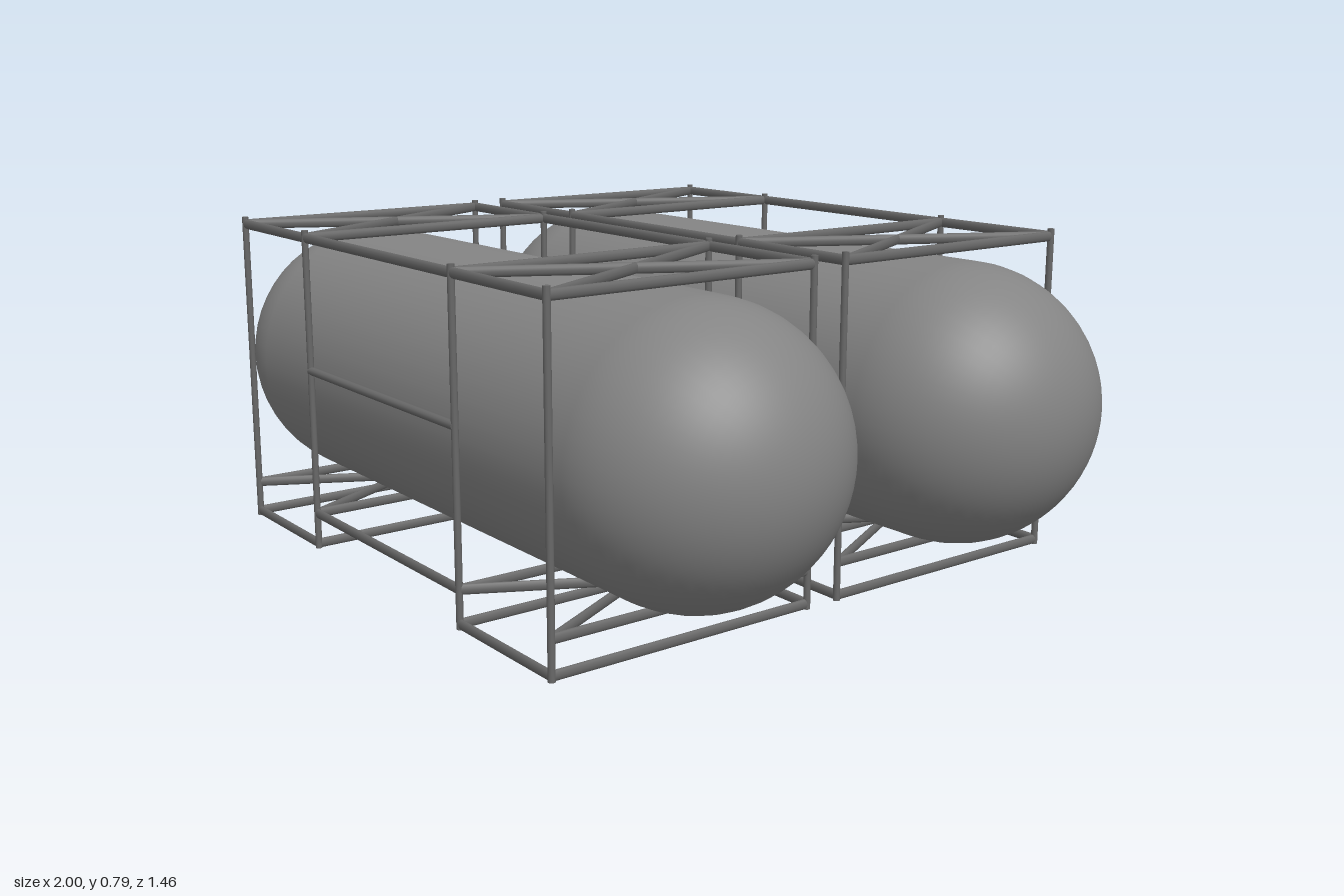
import * as THREE from 'three';

const tankMaterial = new THREE.MeshStandardMaterial({ color: 0x848484 });
const frameMaterial = new THREE.MeshStandardMaterial({ color: 0x686868 });

// Unit bar along z, stretched between two points
const barGeometry = new THREE.CylinderGeometry(1, 1, 1, 12).rotateX(Math.PI / 2);

function addBar(parent, name, a, b, halfWidth = 0.007, halfHeight = 0.012) {
  const start = new THREE.Vector3(...a);
  const end = new THREE.Vector3(...b);
  const bar = new THREE.Mesh(barGeometry, frameMaterial);
  bar.name = name;
  bar.position.copy(start).add(end).multiplyScalar(0.5);
  bar.lookAt(end);
  bar.scale.set(halfWidth, halfHeight, start.distanceTo(end));
  parent.add(bar);
}

const postX = [-0.73, -0.383, 0.3, 0.652];
const bays = [[postX[0], postX[1]], [postX[2], postX[3]]];
const topY = 0.768, midY = 0.447, lowY = 0.09, footY = 0.013;
const sideZ = 0.337;
const tankRadius = 0.325;

function createTankUnit() {
  const unit = new THREE.Group();

  // Tank with domed ends
  const tank = new THREE.Mesh(
    new THREE.CapsuleGeometry(tankRadius, 2 - 2 * tankRadius, 20, 48).rotateZ(Math.PI / 2),
    tankMaterial
  );
  tank.name = 'tank';
  tank.position.y = 0.415;
  unit.add(tank);

  const frame = new THREE.Group();
  frame.name = 'frame';
  unit.add(frame);

  // Posts and long rails on both sides
  for (const z of [-sideZ, sideZ]) {
    for (const x of postX) addBar(frame, 'post', [x, 0.001, z], [x, 0.786, z], 0.008, 0.008);
    addBar(frame, 'topRail', [postX[0], topY, z], [postX[3], topY, z]);
    addBar(frame, 'lowerRail', [postX[1], lowY, z], [postX[2], lowY, z]);
    addBar(frame, 'middleRail', [postX[1], midY, z], [postX[2], midY, z], 0.01, 0.01);
    for (const [x0, x1] of bays) addBar(frame, 'footRail', [x0, footY, z], [x1, footY, z]);
  }

  // Cross bars between the two sides
  for (const x of postX) {
    for (const y of [topY, lowY, footY]) addBar(frame, 'crossBar', [x, y, -sideZ], [x, y, sideZ]);
  }

  // Crossed braces above and below the tank in each end bay
  for (const [x0, x1] of bays) {
    for (const y of [topY, lowY]) {
      addBar(frame, 'diagonalBrace', [x0, y, -sideZ], [x1, y, sideZ]);
      addBar(frame, 'diagonalBrace', [x0, y, sideZ], [x1, y, -sideZ]);
    }
  }
  return unit;
}

export function createModel() {
  const model = new THREE.Group();
  model.name = 'tankPair';
  for (const [name, z] of [['frontTankUnit', 0.382], ['backTankUnit', -0.382]]) {
    const unit = createTankUnit();
    unit.name = name;
    unit.position.z = z;
    model.add(unit);
  }
  return model;
}
